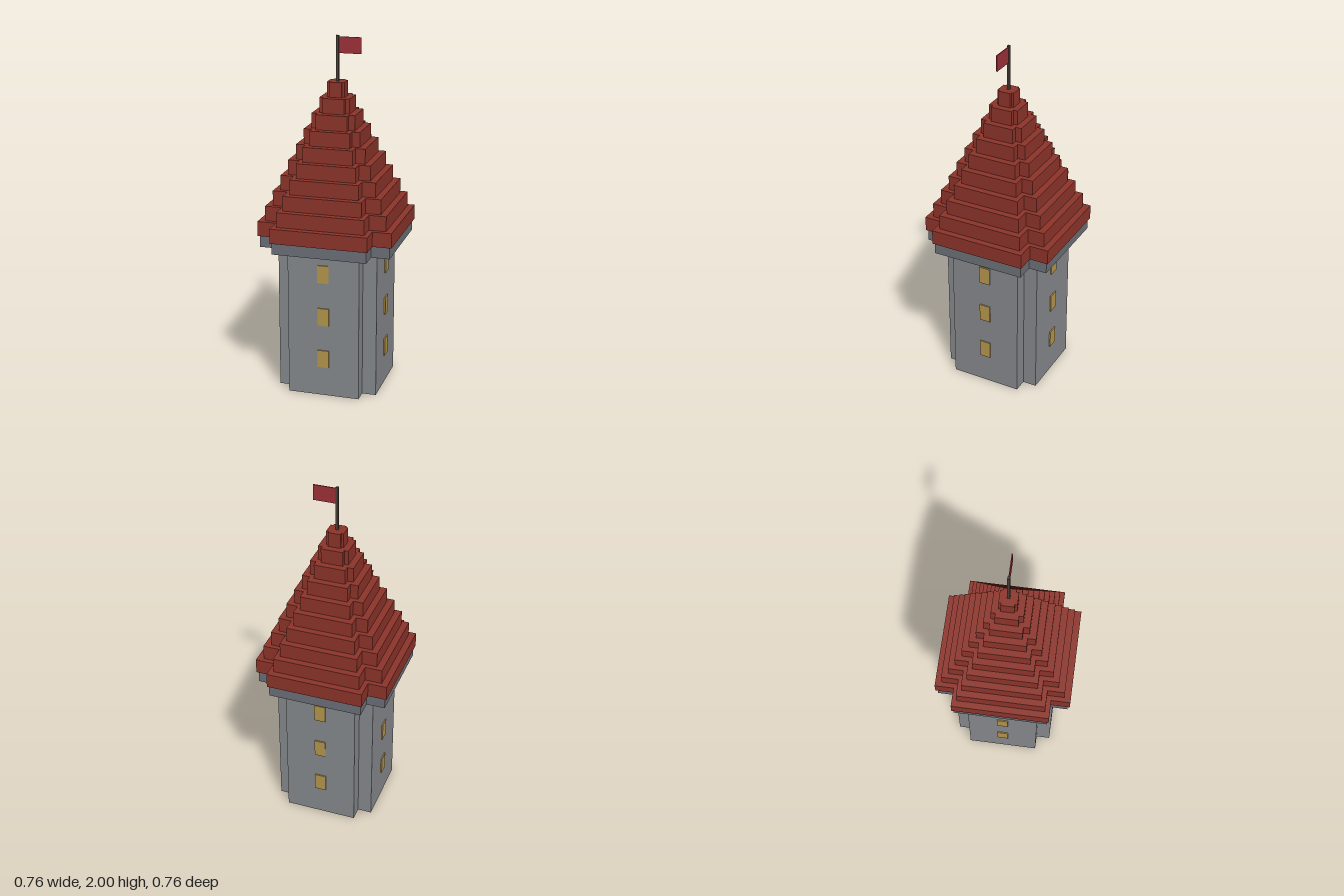
import * as THREE from 'three';

const mat = (color) => new THREE.MeshStandardMaterial({ color });

// Square plan with notched corners: r = half width, c = half width of each arm
function notchedBlock(name, r, y0, y1, material) {
  const c = r * 0.72;
  const plan = new THREE.Shape([
    [r, -c], [r, c], [c, c], [c, r], [-c, r], [-c, c],
    [-r, c], [-r, -c], [-c, -c], [-c, -r], [c, -r], [c, -c],
  ].map(([x, y]) => new THREE.Vector2(x, y)));
  const geo = new THREE.ExtrudeGeometry(plan, { depth: y1 - y0, bevelEnabled: false });
  geo.rotateX(-Math.PI / 2).translate(0, y0, 0);
  const mesh = new THREE.Mesh(geo, material);
  mesh.name = name;
  return mesh;
}

function box(name, w, h, d, x, y, z, material) {
  const mesh = new THREE.Mesh(new THREE.BoxGeometry(w, h, d), material);
  mesh.position.set(x, y, z);
  mesh.name = name;
  return mesh;
}

export function createModel() {
  const tower = new THREE.Group();
  tower.name = 'tower';
  const stone = mat(0x85888c), trim = mat(0x6b7077), tile = mat(0x8c342a);
  const glass = mat(0xb4954c), wood = mat(0x4a4036), cloth = mat(0x9c3038);

  // Walls and cornice
  tower.add(notchedBlock('walls', 0.284, 0, 0.845, stone));
  tower.add(notchedBlock('cornice', 0.37, 0.845, 0.91, trim));

  // Stepped roof
  const roof = new THREE.Group();
  roof.name = 'roof';
  const tiers = 10, base = 0.91, step = 0.084;
  for (let i = 0; i < tiers; i++) {
    const r = THREE.MathUtils.lerp(0.381, 0.049, i / (tiers - 1));
    roof.add(notchedBlock('roofTier', r, base + i * step, base + (i + 1) * step, tile));
  }
  tower.add(roof);

  // Three windows on each of the four sides
  for (let side = 0; side < 4; side++) {
    const column = new THREE.Group();
    column.name = 'windows';
    column.rotation.y = side * Math.PI / 2;
    for (const y of [0.222, 0.474, 0.726]) {
      column.add(box('window', 0.064, 0.102, 0.02, 0, y, 0.281, glass));
    }
    tower.add(column);
  }

  // Flagpole and flag
  tower.add(box('flagpole', 0.014, 0.25, 0.014, 0, 1.875, 0, wood));
  tower.add(box('flag', 0.128, 0.09, 0.006, 0.069, 1.948, 0, cloth));
  return tower;
}
